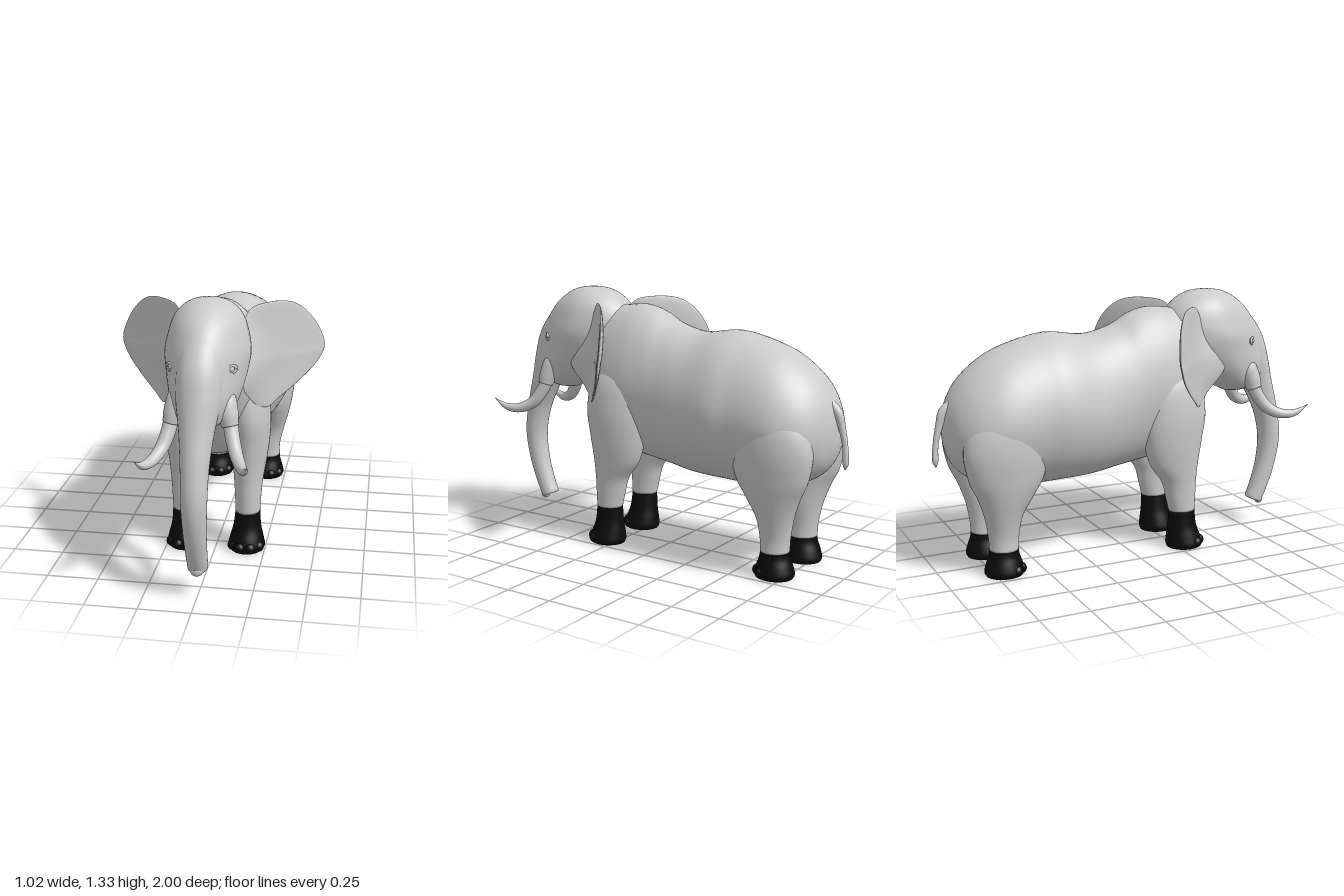
import * as THREE from 'three';

const grey = new THREE.MeshStandardMaterial({ color: 0xcccccc });
const black = new THREE.MeshStandardMaterial({ color: 0x0b0b0b });
const V = (x, y, z) => new THREE.Vector3(x, y, z);

// Closed smooth skin over a list of point rings, with a pole at each end
function skin(rings) {
  const n = rings[0].length, pos = [], idx = [];
  const mean = r => r.reduce((s, p) => s.add(p), V(0, 0, 0)).divideScalar(n);
  rings.forEach(r => r.forEach(p => pos.push(p.x, p.y, p.z)));
  const a = rings.length * n, last = (rings.length - 1) * n;
  [rings[0], rings[rings.length - 1]].forEach(r => pos.push(...mean(r).toArray()));
  for (let j = 0; j < n; j++) {
    const k = (j + 1) % n;
    for (let o = 0; o < last; o += n) {
      idx.push(o + j, o + n + j, o + k, o + k, o + n + j, o + n + k);
    }
    idx.push(a, j, k, a + 1, last + k, last + j);
  }
  const g = new THREE.BufferGeometry();
  g.setAttribute('position', new THREE.Float32BufferAttribute(pos, 3));
  g.setIndex(idx);
  g.computeVertexNormals();
  return g;
}

// Smoothly interpolated value of one column of a row table
function sample(rows, col, t) {
  const f = t * (rows.length - 1), i = Math.min(Math.floor(f), rows.length - 2), u = f - i;
  const p = k => rows[Math.max(0, Math.min(rows.length - 1, k))][col];
  const m0 = (p(i + 1) - p(i - 1)) / 2, m1 = (p(i + 2) - p(i)) / 2;
  return p(i) + u * m0 + u * u * (3 * (p(i + 1) - p(i)) - 2 * m0 - m1)
    + u * u * u * (2 * (p(i) - p(i + 1)) + m0 + m1);
}

// Upright loft, rows: y, centre x, centre z, radius x, radius z; pinch narrows the front
function loftY(rows, pinch = 0, sides = 44) {
  const steps = (rows.length - 1) * 5, rings = [];
  for (let i = 0; i <= steps; i++) {
    const [y, cx, cz, rx, rz] = [0, 1, 2, 3, 4].map(c => sample(rows, c, i / steps));
    rings.push(Array.from({ length: sides }, (_, j) => {
      const a = j / sides * Math.PI * 2, s = Math.sin(a);
      return V(cx + rx * Math.cos(a) * (1 - pinch * Math.max(0, s)), y, cz + rz * s);
    }));
  }
  return skin(rings);
}

// Lengthwise loft, rows: z, top, bottom, half width; slightly narrower towards the spine
function loftZ(rows, sides = 56) {
  const steps = (rows.length - 1) * 5, rings = [];
  for (let i = 0; i <= steps; i++) {
    const [z, top, bot, w] = [0, 1, 2, 3].map(c => sample(rows, c, i / steps));
    rings.push(Array.from({ length: sides }, (_, j) => {
      const a = j / sides * Math.PI * 2, c = Math.cos(a), s = -Math.sin(a);
      return V(w * c * (1 - 0.08 * Math.max(0, s)), (top + bot) / 2 + (top - bot) / 2 * s, z);
    }));
  }
  return skin(rings);
}

// Tapered tube, rows: x, y, z, radius
function taper(rows, hollow = false, sides = 24) {
  const curve = new THREE.CatmullRomCurve3(rows.map(r => V(r[0], r[1], r[2])));
  const steps = (rows.length - 1) * 8, frames = [];
  for (let i = 0; i <= steps; i++) frames.push([curve.getPoint(i / steps), curve.getTangent(i / steps)]);
  const side = V(1, 0, 0);
  const ring = ([p, t], r) => {
    const b = V(0, 0, 0).crossVectors(t, side).normalize(), n = V(0, 0, 0).crossVectors(b, t).normalize();
    return Array.from({ length: sides }, (_, j) => {
      const a = j / sides * Math.PI * 2;
      return p.clone().addScaledVector(n, r * Math.cos(a)).addScaledVector(b, -r * Math.sin(a));
    });
  };
  const rings = frames.map((f, i) => ring(f, Math.max(0.001, sample(rows, 3, i / steps))));
  if (hollow) {
    const [p, t] = frames[steps], r = rows[rows.length - 1][3];
    rings.push(ring([p.clone().addScaledVector(t, 0.006), t], r * 0.85));
    rings.push(ring([p, t], r * 0.62), ring([p.clone().addScaledVector(t, -0.04), t], r * 0.45));
  }
  return skin(rings);
}

// Cupped ear flap: swept back at the top, wrapping forward onto the cheek at its root
function earFlap() {
  const outline = new THREE.CatmullRomCurve3([
    [0.51, 1.02], [0.483, 1.11], [0.42, 1.205], [0.35, 1.258], [0.25, 1.272], [0.17, 1.25], [0.14, 1.12],
    [0.16, 0.98], [0.172, 0.87], [0.21, 0.79], [0.26, 0.765], [0.3, 0.795], [0.4, 0.87], [0.48, 0.95],
  ].map(([x, y]) => V(x, y, 0)), true).getPoints(72).slice(0, 72);
  const rings = [], n = 16;
  for (let i = 1; i < 2 * n; i++) {
    const back = i > n, t = Math.sin((back ? 2 * n - i : i) / n * Math.PI / 2), d = 1 - t * t;
    rings.push(outline.map(p => {
      const x = 0.32 + (p.x - 0.32) * t, y = 1.03 + (p.y - 1.03) * t;
      const root = 9 * Math.max(0, 0.28 - x) ** 2 * Math.exp(-(((y - 0.95) / 0.13) ** 2));
      const z = 0.085 + 0.92 * (0.51 - x) + root - 0.2 * Math.max(0, y - 1);
      return V(x, y, z - 0.03 * d + (back ? -1 : 1) * 0.02 * Math.sqrt(d));
    }));
  }
  return skin(rings);
}

function mirrored(g) {
  const m = g.clone().scale(-1, 1, 1), ix = m.index.array;
  for (let i = 0; i < ix.length; i += 3) [ix[i], ix[i + 1]] = [ix[i + 1], ix[i]];
  m.computeVertexNormals();
  return m;
}

export function createModel() {
  const model = new THREE.Group();
  model.name = 'elephant';
  const add = (name, g, mat = grey) => {
    const m = new THREE.Mesh(g, mat);
    m.name = name;
    model.add(m);
  };
  const pair = (name, g, mat) => {
    add('left' + name, g, mat);
    add('right' + name, mirrored(g), mat);
  };

  // Torso and neck
  add('body', loftZ([
    [-0.94, 0.75, 0.66, 0.03], [-0.93, 0.81, 0.61, 0.08], [-0.9, 0.885, 0.54, 0.165], [-0.84, 0.97, 0.48, 0.24],
    [-0.75, 1.045, 0.44, 0.289], [-0.65, 1.1, 0.42, 0.306], [-0.5, 1.145, 0.41, 0.305], [-0.38, 1.16, 0.412, 0.313],
    [-0.2, 1.14, 0.418, 0.28], [-0.05, 1.175, 0.44, 0.248], [0.05, 1.23, 0.455, 0.238], [0.15, 1.257, 0.47, 0.236],
    [0.25, 1.25, 0.485, 0.225], [0.33, 1.24, 0.53, 0.205], [0.42, 1.23, 0.69, 0.18], [0.5, 1.2, 0.81, 0.13],
  ]));

  // Head and trunk
  add('head', loftY([
    [0.785, 0, 0.68, 0.05, 0.07], [0.82, 0, 0.68, 0.115, 0.14], [0.88, 0, 0.64, 0.15, 0.21],
    [0.95, 0, 0.59, 0.175, 0.262], [1.03, 0, 0.545, 0.193, 0.277], [1.1, 0, 0.525, 0.201, 0.273],
    [1.17, 0, 0.505, 0.188, 0.262], [1.24, 0, 0.495, 0.165, 0.218], [1.29, 0, 0.49, 0.128, 0.158],
    [1.32, 0, 0.49, 0.08, 0.095], [1.332, 0, 0.49, 0.02, 0.025],
  ], 0.18, 48));
  add('trunk', taper([
    [0, 1.24, 0.52, 0.07], [0, 1.16, 0.64, 0.098], [0, 1.06, 0.72, 0.107], [0, 0.95, 0.767, 0.104],
    [0, 0.8, 0.83, 0.08], [0, 0.65, 0.885, 0.065], [0, 0.5, 0.912, 0.06], [0, 0.35, 0.895, 0.054],
    [0, 0.22, 0.855, 0.05], [0, 0.145, 0.823, 0.048],
  ], true, 32));
  const ball = (r, x, y, z) => new THREE.SphereGeometry(r, 20, 14).translate(x, y, z);
  add('trunkTipFinger', ball(0.03, 0, 0, 0).scale(1, 1, 0.7).translate(0, 0.141, 0.858));
  pair('Ear', earFlap());

  // Tusks and the low cheek sockets they grow from
  pair('TuskSocket', taper([
    [0.1, 0.97, 0.67, 0.035], [0.11, 0.91, 0.695, 0.05], [0.125, 0.85, 0.715, 0.047], [0.135, 0.805, 0.725, 0.04],
  ]));
  pair('Tusk', taper([
    [0.133, 0.84, 0.71, 0.034], [0.145, 0.77, 0.74, 0.034], [0.17, 0.7, 0.79, 0.031],
    [0.2, 0.667, 0.86, 0.026], [0.225, 0.672, 0.93, 0.018], [0.245, 0.714, 0.998, 0.001],
  ]));

  // Eyes with upper and lower lids
  pair('Eye', ball(0.018, 0.132, 1.062, 0.698));
  for (const [name, turn, dy] of [['UpperEyelid', 0, 0.001], ['LowerEyelid', Math.PI, -0.001]]) {
    pair(name, new THREE.TorusGeometry(0.021, 0.008, 10, 20, Math.PI).rotateZ(turn)
      .scale(1.2, 0.75, 1).rotateY(0.75).translate(0.136, 1.062 + dy, 0.702));
  }

  // Legs
  pair('FrontLeg', loftY([
    [0.2, 0.16, 0.28, 0.062, 0.07], [0.28, 0.16, 0.272, 0.066, 0.082], [0.36, 0.16, 0.262, 0.072, 0.095],
    [0.46, 0.162, 0.232, 0.085, 0.135], [0.58, 0.163, 0.225, 0.098, 0.16], [0.72, 0.16, 0.23, 0.103, 0.175],
    [0.88, 0.145, 0.23, 0.09, 0.15], [1.02, 0.11, 0.22, 0.04, 0.08],
  ]));
  pair('HindLeg', loftY([
    [0.13, 0.15, -0.7, 0.07, 0.072], [0.2, 0.15, -0.7, 0.07, 0.077], [0.3, 0.157, -0.7, 0.086, 0.095],
    [0.4, 0.168, -0.69, 0.102, 0.14], [0.5, 0.175, -0.685, 0.115, 0.19], [0.65, 0.177, -0.685, 0.127, 0.21],
    [0.8, 0.162, -0.67, 0.118, 0.17], [0.92, 0.12, -0.64, 0.05, 0.07],
  ]));

  // Dark feet with rounded toes
  pair('FrontFoot', loftY([
    [0, 0.157, 0.296, 0.083, 0.09], [0.02, 0.157, 0.296, 0.093, 0.096], [0.06, 0.157, 0.292, 0.085, 0.09],
    [0.12, 0.158, 0.284, 0.07, 0.076], [0.2, 0.16, 0.28, 0.062, 0.07],
  ]), black);
  pair('HindFoot', loftY([
    [0, 0.15, -0.7, 0.083, 0.092], [0.02, 0.15, -0.7, 0.093, 0.1], [0.06, 0.15, -0.7, 0.085, 0.09],
    [0.1, 0.15, -0.7, 0.073, 0.076], [0.13, 0.15, -0.7, 0.07, 0.072],
  ]), black);
  for (const [name, x, z] of [['FrontToe', 0.157, 0.3], ['HindToe', 0.15, -0.695]]) {
    for (const a of [-1.05, -0.35, 0.35, 1.05]) {
      pair(name, ball(0.028, x + 0.074 * Math.sin(a), 0.028, z + 0.077 * Math.cos(a)), black);
    }
  }

  // Tail
  add('tail', taper([
    [0, 0.87, -0.87, 0.02], [0, 0.81, -0.935, 0.024], [0, 0.74, -0.96, 0.018], [0, 0.65, -0.98, 0.014],
    [0, 0.57, -0.985, 0.015], [0, 0.54, -0.982, 0.004],
  ]));
  return model;
}
